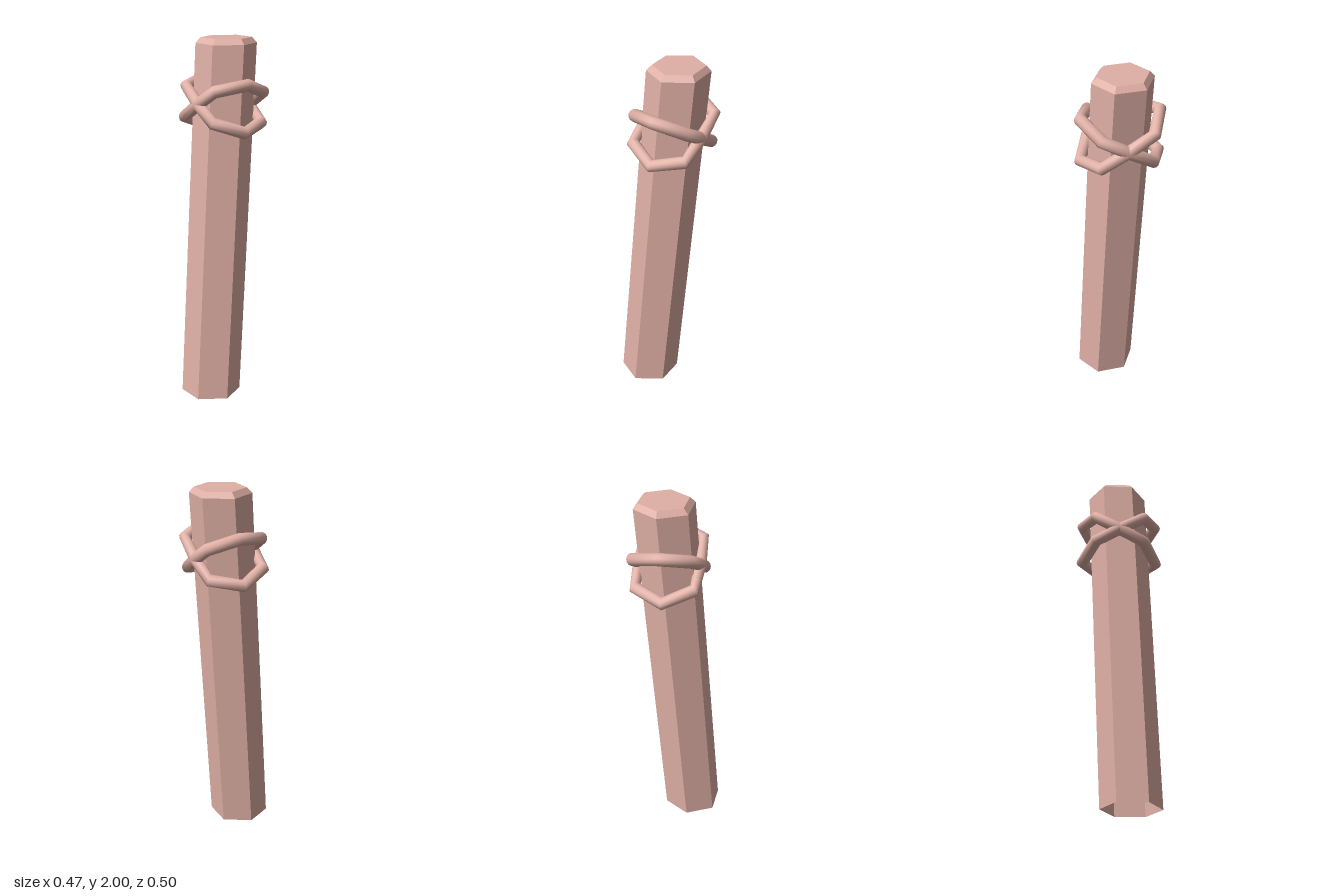
import * as THREE from 'three';

const COLOR = 0xe0b0a6;

// Closed tube through mirrored corner points in the xz plane
function loopGeometry(tube = 0.034, sides = 12) {
  const corners = [
    [0, 0.249], [0.16, 0.161], [0.167, 0], [0.16, -0.161],
    [0, -0.249], [-0.16, -0.161], [-0.167, 0], [-0.16, 0.161],
  ];
  const n = corners.length;
  const positions = [];
  const indices = [];
  corners.forEach(([x, z], i) => {
    const len = Math.hypot(x, z);
    for (let j = 0; j < sides; j++) {
      const a = (j / sides) * Math.PI * 2;
      const out = 1 + (tube * Math.cos(a)) / len;
      positions.push(x * out, tube * Math.sin(a), z * out);
      const i2 = (i + 1) % n;
      const j2 = (j + 1) % sides;
      const p = i * sides + j, q = i2 * sides + j;
      const r = i2 * sides + j2, s = i * sides + j2;
      indices.push(p, q, r, p, r, s);
    }
  });
  const geometry = new THREE.BufferGeometry();
  geometry.setAttribute('position', new THREE.Float32BufferAttribute(positions, 3));
  geometry.setIndex(indices);
  geometry.computeVertexNormals();
  return geometry;
}

// Six-sided post with an open base and a chamfered top, sheared so that it leans
function postGeometry() {
  const profile = [[0.165, 0], [0.167, 1.97], [0.139, 2], [0, 2]];
  const geometry = new THREE.LatheGeometry(profile.map(([r, y]) => new THREE.Vector2(r, y)), 6);
  const pos = geometry.attributes.position;
  for (let i = 0; i < pos.count; i++) {
    const y = pos.getY(i);
    pos.setX(i, pos.getX(i) - 0.095 + 0.0762 * y);
    pos.setZ(i, pos.getZ(i) + 0.06 - 0.0355 * y);
  }
  geometry.computeVertexNormals();
  return geometry;
}

export function createModel() {
  const model = new THREE.Group();
  model.name = 'ropedPost';

  const post = new THREE.Mesh(
    postGeometry(),
    new THREE.MeshStandardMaterial({ color: COLOR, flatShading: true, side: THREE.DoubleSide })
  );
  post.name = 'post';
  model.add(post);

  // Two rope loops crossing at the sides, leaning with the post
  const ropes = new THREE.Group();
  ropes.name = 'ropeLoops';
  ropes.position.set(0.032, 1.638, 0);
  ropes.rotation.z = -0.076;
  const ropeMaterial = new THREE.MeshStandardMaterial({ color: COLOR });
  const geometry = loopGeometry();
  for (const side of [-1, 1]) {
    const rope = new THREE.Mesh(geometry, ropeMaterial);
    rope.name = side < 0 ? 'ropeLoopFrontHigh' : 'ropeLoopFrontLow';
    rope.rotation.x = side * 0.54;
    ropes.add(rope);
  }
  model.add(ropes);
  return model;
}
